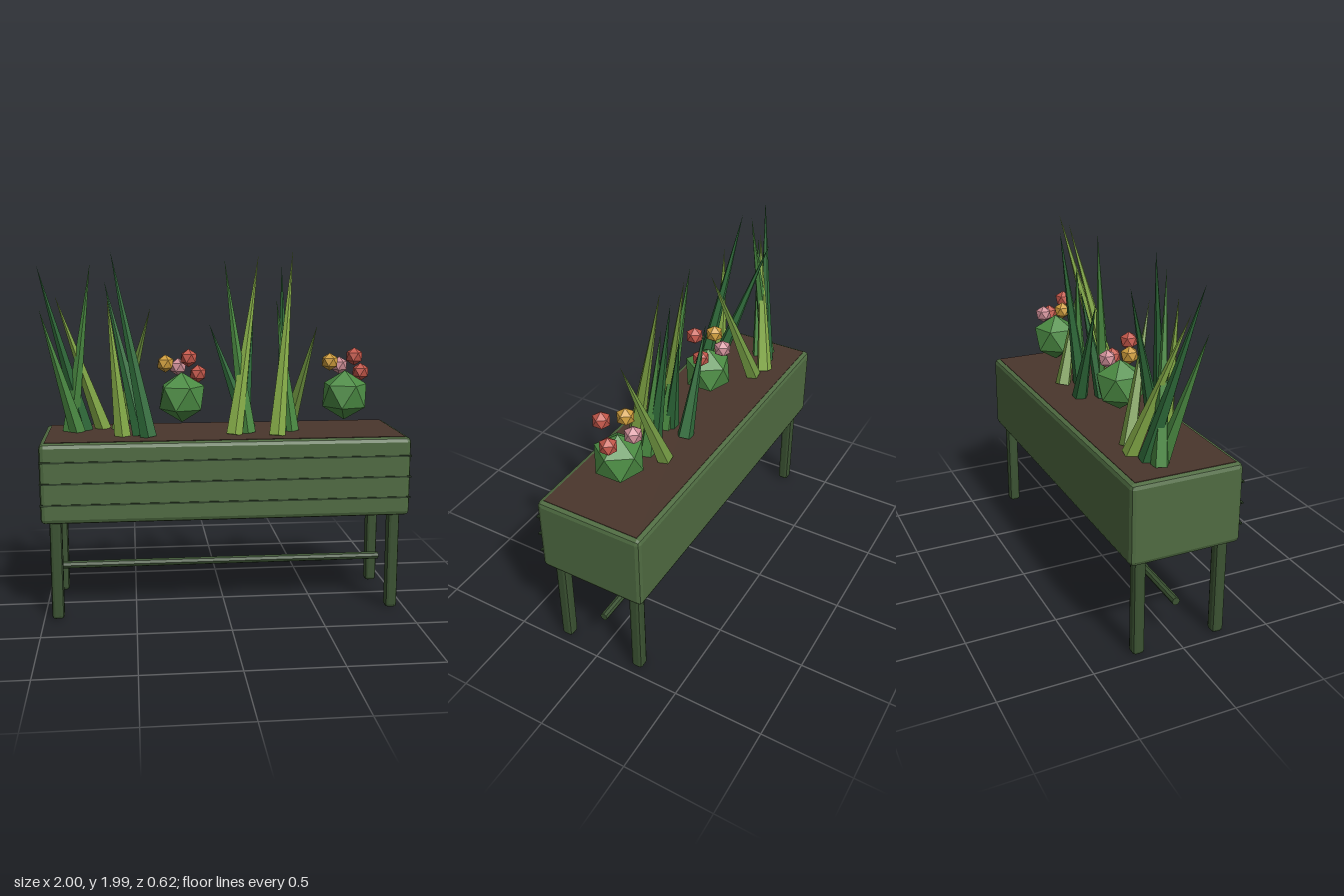
import * as THREE from 'three';
import { RoundedBoxGeometry } from 'three/addons/geometries/RoundedBoxGeometry.js';

const mat = (color) => new THREE.MeshStandardMaterial({ color, flatShading: true });
const M = {
  planter: mat(0x4f6b41), frame: mat(0x3b5232), groove: mat(0x2c3f27), soil: mat(0x4a362c),
  cactus: mat(0x4c8c44), red: mat(0xc4574a), pink: mat(0xd08f98), yellow: mat(0xcf9d3c),
  dark: mat(0x2f6b3a), mid: mat(0x4a8a42), light: mat(0x86ad48), olive: mat(0x6f9440),
};

export function createModel() {
  const model = new THREE.Group();
  const add = (parent, name, geometry, material, x, y, z) => {
    const mesh = new THREE.Mesh(geometry, material);
    mesh.name = name;
    mesh.position.set(x, y, z);
    parent.add(mesh);
    return mesh;
  };

  // Chamfered trough, soil and plank grooves on the front
  add(model, 'trough', new RoundedBoxGeometry(2, 0.435, 0.61, 1, 0.025), M.planter, 0, 0.7625, 0);
  add(model, 'soil', new THREE.BoxGeometry(1.94, 0.03, 0.55), M.soil, 0, 0.968, 0);
  for (const y of [0.65, 0.765, 0.88]) {
    add(model, 'plankGroove', new THREE.BoxGeometry(2, 0.009, 0.012), M.groove, 0, y, 0.304);
  }

  // Legs and the rail between them
  for (const x of [-0.925, 0.925]) {
    for (const z of [-0.23, 0.23]) {
      add(model, 'leg', new RoundedBoxGeometry(0.066, 0.57, 0.066, 1, 0.018), M.frame, x, 0.285, z);
    }
  }
  const rail = add(model, 'rail', new THREE.CylinderGeometry(0.022, 0.022, 1.82, 8), M.frame, 0, 0.225, 0);
  rail.rotation.z = Math.PI / 2;

  // Round cacti with blossoms; the icosahedron stands on a corner
  const ball = (r) => new THREE.IcosahedronGeometry(r, 0)
    .rotateX(-Math.atan((1 + Math.sqrt(5)) / 2)).rotateY(Math.PI / 2);
  const blossoms = [
    ['yellow', -0.09, 0.19, 0.01], ['red', 0.035, 0.225, 0.067],
    ['pink', -0.015, 0.16, -0.082], ['red', 0.09, 0.13, -0.004],
  ];
  for (const x of [-0.23, 0.69]) {
    const cactus = new THREE.Group();
    cactus.name = 'floweringCactus';
    cactus.position.set(x, 1.175, 0);
    add(cactus, 'cactusBody', ball(0.14), M.cactus, 0, 0, 0);
    for (const [color, bx, by, bz] of blossoms) {
      add(cactus, 'blossom', ball(0.05), M[color], bx, by, bz);
    }
    model.add(cactus);
  }

  // Grass tufts: each blade is [color, base x, base z, tip x, tip y, tip z]
  const tufts = [
    [['mid', -0.85, -0.08, -0.72, 1.91, 0], ['light', -0.67, -0.15, -0.91, 1.74, 0.03],
      ['dark', -0.77, -0.11, -1, 1.9, 0.05], ['mid', -0.81, -0.05, -0.99, 1.665, 0.08]],
    [['dark', -0.42, 0.15, -0.61, 1.975, 0], ['dark', -0.46, 0.1, -0.65, 1.815, -0.15],
      ['light', -0.56, 0.1, -0.63, 1.74, 0.12], ['olive', -0.58, -0.12, -0.4, 1.675, 0.08]],
    [['light', 0.05, 0.12, 0.21, 1.96, -0.1], ['mid', 0.13, 0.07, 0.01, 1.93, -0.02],
      ['dark', 0.15, -0.07, -0.07, 1.575, -0.07], ['dark', 0.1, 0.05, 0.175, 1.6, -0.05]],
    [['light', 0.28, 0.17, 0.4, 1.985, -0.08], ['dark', 0.34, 0.02, 0.34, 1.895, -0.1],
      ['mid', 0.38, 0.03, 0.3, 1.71, -0.02], ['olive', 0.38, -0.08, 0.51, 1.575, 0.09]],
  ];
  const up = new THREE.Vector3(0, 1, 0);
  for (const tuft of tufts) {
    const group = new THREE.Group();
    group.name = 'grassTuft';
    for (const [color, bx, bz, tx, ty, tz] of tuft) {
      const base = new THREE.Vector3(bx, 0.98, bz);
      const axis = new THREE.Vector3(tx, ty, tz).sub(base);
      const blade = add(group, 'blade', new THREE.ConeGeometry(0.047, axis.length(), 5), M[color], 0, 0, 0);
      blade.position.copy(base).addScaledVector(axis, 0.5);
      blade.quaternion.setFromUnitVectors(up, axis.normalize());
    }
    model.add(group);
  }
  return model;
}
